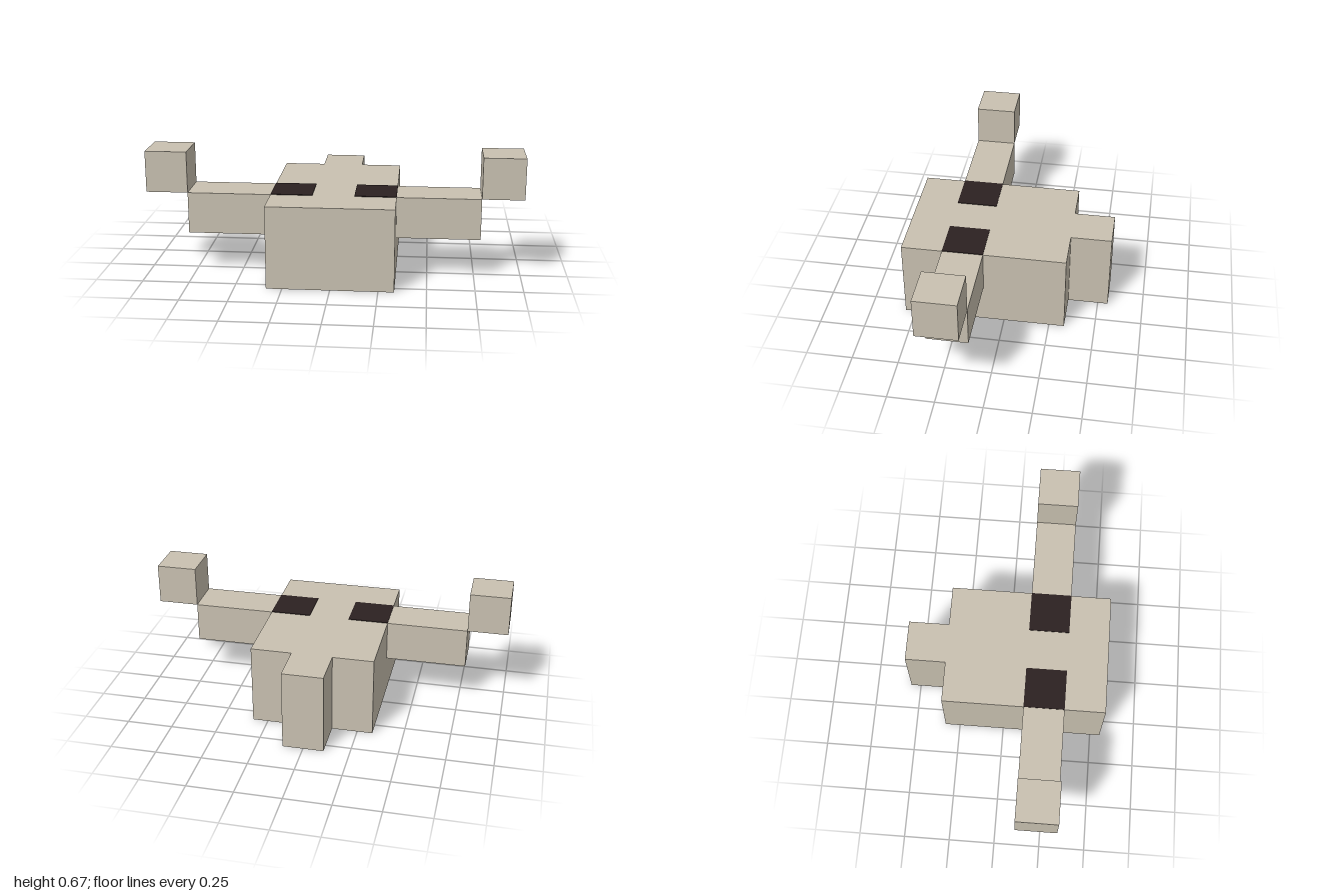
import * as THREE from 'three';

// One block of the grid the model is built on
const U = 2 / 9;

export function createModel() {
  const model = new THREE.Group();
  model.name = 'blockCreature';

  const stone = new THREE.MeshStandardMaterial({ color: 0xc9c1b1 });
  stone.name = 'pale stone';
  const dark = new THREE.MeshStandardMaterial({ color: 0x2c2121 });
  dark.name = 'dark brown';

  // Box from size and centre, both in blocks
  function block(name, [w, h, d], [x, y, z], material = stone) {
    const mesh = new THREE.Mesh(new THREE.BoxGeometry(w * U, h * U, d * U), material);
    mesh.position.set(x * U, y * U, z * U);
    mesh.name = name;
    model.add(mesh);
  }

  // Body and the full-height stub behind it
  block('body', [3, 2, 4], [0, 1, 0.5]);
  block('tail', [1, 2, 1], [0, 1, -2]);

  // Mirrored arms, raised claws and eye patches
  for (const [side, s] of [['left', 1], ['right', -1]]) {
    block(side + 'Arm', [2, 1, 1], [s * 2.5, 1.5, 1]);
    block(side + 'Claw', [1, 1, 1], [s * 4, 2.5, 1]);
    block(side + 'Eye', [1, 0.015, 1], [s, 2.0075, 1], dark);
  }

  return model;
}
